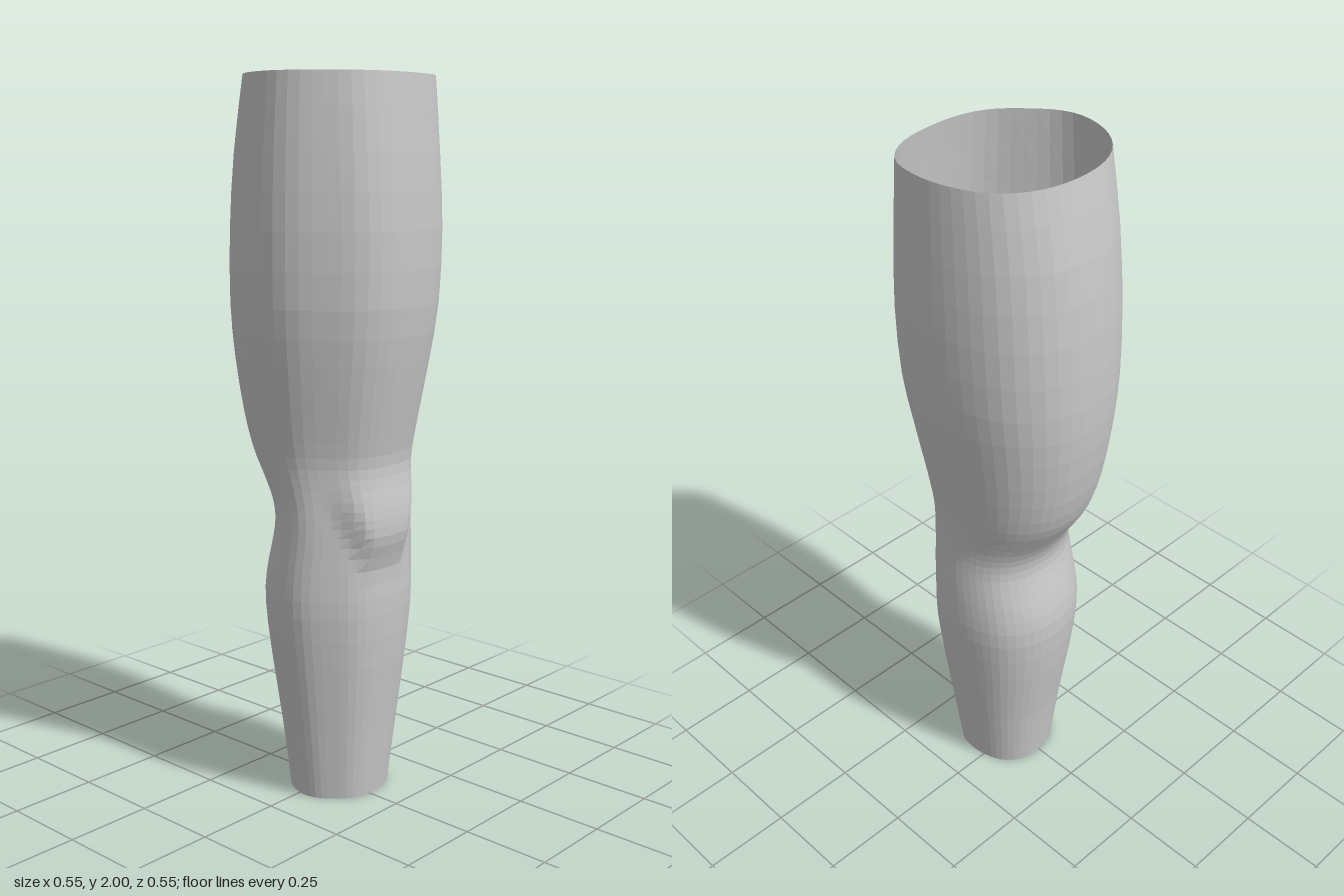
import * as THREE from 'three';

// Cross-section outline in unit coordinates (x, z), flatter on the front right
const OUTLINE = [
  [-1, 0.02], [-0.94, 0.3], [-0.74, 0.6], [-0.48, 0.87], [-0.18, 0.99], [0.2, 1],
  [0.62, 0.9], [0.91, 0.64], [1, 0.2], [0.94, -0.28], [0.78, -0.65], [0.54, -0.88],
  [0.24, -1], [-0.2, -1], [-0.52, -0.88], [-0.75, -0.68], [-0.93, -0.36],
].map(([x, z]) => new THREE.Vector3(x, 0, z));

// Leg extents by height: y, right x, left x, front z, back z
const LEVELS = [
  [0, -0.133, 0.142, 0.148, -0.106],
  [0.2, -0.158, 0.166, 0.168, -0.128],
  [0.4, -0.185, 0.19, 0.19, -0.156],
  [0.55, -0.203, 0.206, 0.2, -0.169],
  [0.64, -0.205, 0.207, 0.199, -0.162],
  [0.72, -0.201, 0.204, 0.197, -0.142],
  [0.78, -0.198, 0.2, 0.196, -0.127],
  [0.83, -0.197, 0.197, 0.196, -0.128],
  [0.88, -0.198, 0.197, 0.198, -0.147],
  [0.94, -0.203, 0.2, 0.201, -0.184],
  [1.0, -0.211, 0.207, 0.207, -0.216],
  [1.1, -0.228, 0.221, 0.225, -0.243],
  [1.25, -0.252, 0.243, 0.251, -0.263],
  [1.4, -0.27, 0.263, 0.27, -0.27],
  [1.6, -0.275, 0.271, 0.274, -0.264],
  [1.8, -0.27, 0.266, 0.262, -0.244],
  [2, -0.261, 0.257, 0.243, -0.206],
];

const SEGMENTS = 48;
const RINGS = (LEVELS.length - 1) * 2;

// One column of the level table as a smooth function of t in 0..1
function column(index) {
  const curve = new THREE.SplineCurve(LEVELS.map((row, i) => new THREE.Vector2(i, row[index])));
  return (t) => curve.getPoint(t).y;
}

// Kneecap: broad at the top, narrowing downward, fullest near y = 0.8
function kneecap(x, y) {
  const rise = THREE.MathUtils.smoothstep(y, 0.66, 0.79);
  const fall = 1 - THREE.MathUtils.smoothstep(y, 0.8, 0.99);
  const halfWidth = THREE.MathUtils.lerp(0.09, 0.16, THREE.MathUtils.smoothstep(y, 0.68, 0.95));
  const across = 1 - THREE.MathUtils.smoothstep(Math.abs(x), halfWidth * 0.65, halfWidth * 1.1);
  return 0.03 * rise * fall * across;
}

function legGeometry() {
  const outline = new THREE.CatmullRomCurve3(OUTLINE, true).getSpacedPoints(SEGMENTS).slice(0, SEGMENTS);
  const [height, xMin, xMax, zFront, zBack] = [0, 1, 2, 3, 4].map(column);
  const positions = [];
  const indices = [];
  for (let r = 0; r <= RINGS; r++) {
    const t = r / RINGS;
    const y = height(t);
    const cx = (xMin(t) + xMax(t)) / 2, hx = (xMax(t) - xMin(t)) / 2;
    const cz = (zFront(t) + zBack(t)) / 2, hz = (zFront(t) - zBack(t)) / 2;
    for (const p of outline) {
      const x = cx + p.x * hx;
      const bump = p.z > 0 ? kneecap(x, y) : 0;
      positions.push(x, y, cz + p.z * hz + bump);
    }
  }
  for (let r = 0; r < RINGS; r++) {
    for (let s = 0; s < SEGMENTS; s++) {
      const a = r * SEGMENTS + s, b = r * SEGMENTS + ((s + 1) % SEGMENTS);
      const c = a + SEGMENTS, d = b + SEGMENTS;
      indices.push(a, b, d, a, d, c);
    }
  }
  const geometry = new THREE.BufferGeometry();
  geometry.setAttribute('position', new THREE.Float32BufferAttribute(positions, 3));
  geometry.setIndex(indices);
  geometry.computeVertexNormals();
  return geometry;
}

export function createModel() {
  const grey = new THREE.MeshStandardMaterial({ color: 0xc8c8c8, side: THREE.DoubleSide, flatShading: true });
  grey.name = 'light grey';

  // Open-ended leg shell from thigh to ankle
  const leg = new THREE.Mesh(legGeometry(), grey);
  leg.name = 'leg';

  const model = new THREE.Group();
  model.name = 'legModel';
  model.add(leg);
  return model;
}
